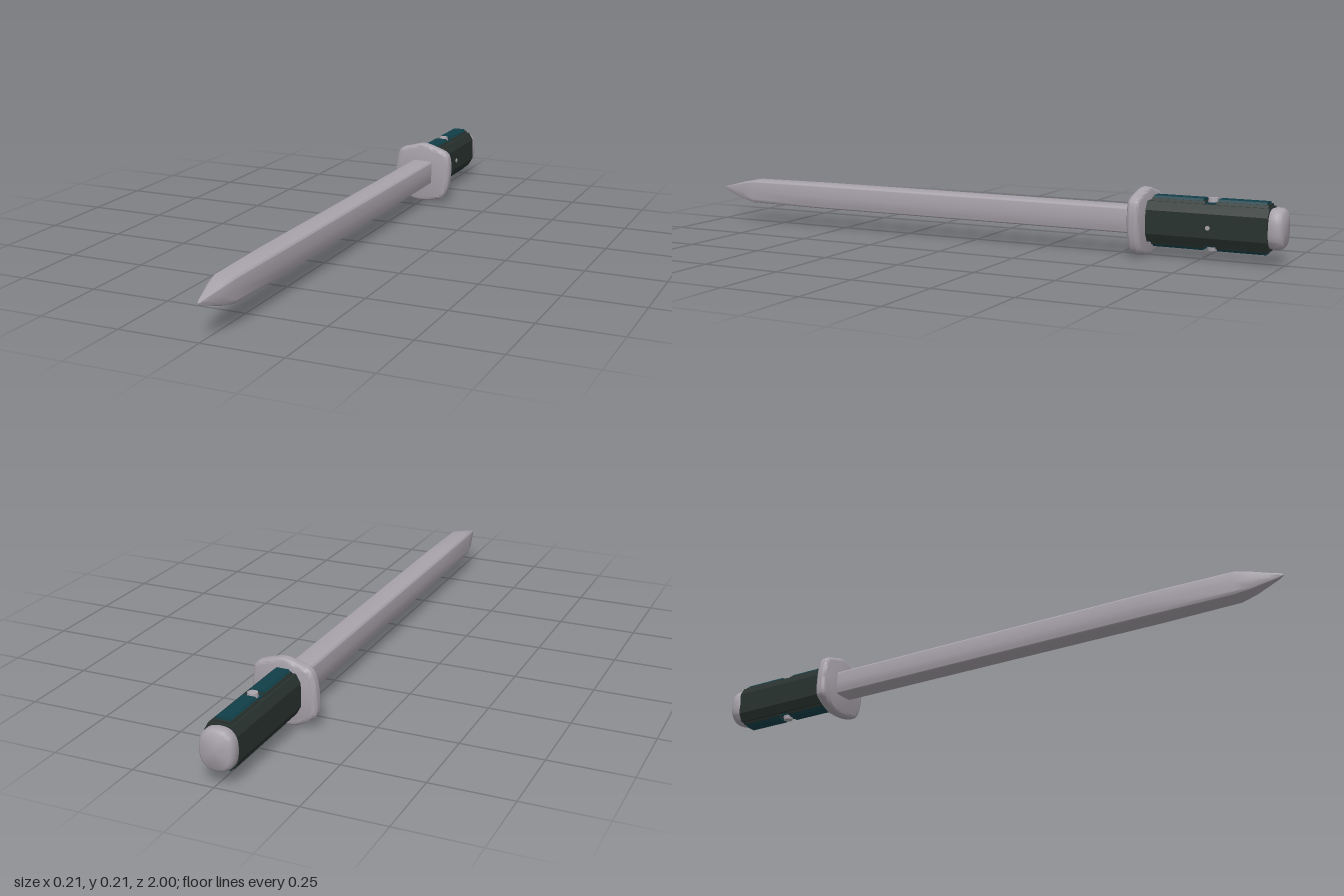
import * as THREE from 'three';
import { toCreasedNormals } from 'three/addons/utils/BufferGeometryUtils.js';

const steel = new THREE.MeshStandardMaterial({ color: 0xa8a2aa });
steel.name = 'steel';
const grip = new THREE.MeshStandardMaterial({ color: 0x28322f });
grip.name = 'dark grip';
const teal = new THREE.MeshStandardMaterial({ color: 0x123f48 });
teal.name = 'teal inlay';

// Closed loft along z through superellipse sections [z, halfWidth, halfHeight, centreY]
function loft(sections, power, creaseAngle, sides = 32) {
  const pos = [], idx = [];
  const bend = (v) => Math.sign(v) * Math.pow(Math.abs(v), 2 / power);
  for (const [z, w, h, cy] of sections) {
    for (let j = 0; j < sides; j++) {
      const a = (j / sides) * Math.PI * 2;
      pos.push(w * bend(Math.cos(a)), cy + h * bend(Math.sin(a)), z);
    }
  }
  const last = sections.length - 1;
  const back = pos.length / 3, front = back + 1;
  pos.push(0, sections[0][3], sections[0][0], 0, sections[last][3], sections[last][0]);
  for (let j = 0; j < sides; j++) {
    const k = (j + 1) % sides;
    for (let i = 0; i < last; i++) {
      const a = i * sides + j, b = i * sides + k;
      idx.push(a, b, b + sides, a, b + sides, a + sides);
    }
    idx.push(back, k, j, front, last * sides + j, last * sides + k);
  }
  const g = new THREE.BufferGeometry();
  g.setAttribute('position', new THREE.Float32BufferAttribute(pos, 3));
  g.setIndex(idx);
  return toCreasedNormals(g, creaseAngle);
}

// Straight bar with a polygon section, from z0 to z1
function bar(points, z0, z1) {
  const shape = new THREE.Shape(points.map(([x, y]) => new THREE.Vector2(x, y)));
  const g = new THREE.ExtrudeGeometry(shape, { depth: z1 - z0, bevelEnabled: false });
  return g.translate(0, 0, z0);
}

// Rounded plate from a smooth closed outline, centred on z = 0
function guardPlate() {
  const outline = [
    [0.103, 0.15], [0.098, 0.06], [0.08, 0.02], [0.042, 0.006], [0, 0.002], [-0.04, 0.006],
    [-0.09, 0.035], [-0.102, 0.05], [-0.104, 0.1], [-0.098, 0.15], [-0.084, 0.183],
    [-0.045, 0.197], [0, 0.208], [0.05, 0.197], [0.092, 0.179],
  ].reverse();
  const curve = new THREE.CatmullRomCurve3(outline.map(([x, y]) => new THREE.Vector3(x, y, 0)), true);
  const points = curve.getPoints(60).slice(0, -1).map((p) => new THREE.Vector2(p.x, p.y));
  const g = new THREE.ExtrudeGeometry(new THREE.Shape(points), {
    depth: 0.012, bevelThickness: 0.013, bevelSize: 0.013, bevelOffset: -0.013, bevelSegments: 4,
  });
  return toCreasedNormals(g.translate(0, 0, -0.006), 1.0);
}

export function createModel() {
  const model = new THREE.Group();
  const add = (name, geometry, material, parent) => {
    const mesh = new THREE.Mesh(geometry, material);
    mesh.name = name;
    parent.add(mesh);
    return mesh;
  };

  // Blade: thick squared bar tapering to a point
  add('blade', loft([
    [-0.57, 0.038, 0.041, 0.107],
    [0.6, 0.038, 0.041, 0.107],
    [0.86, 0.035, 0.039, 0.107],
    [0.91, 0.026, 0.029, 0.107],
    [0.96, 0.013, 0.015, 0.108],
    [0.985, 0.007, 0.008, 0.109],
    [1.0, 0.002, 0.002, 0.110],
  ], 8, 0.7), steel, model);

  // Guard: softly rounded square plate, very slightly turned
  const guard = add('guard', guardPlate(), steel, model);
  guard.position.z = -0.572;
  guard.rotation.y = -0.05;

  // Handle: chamfered bar with notched ridges above and below
  const handle = new THREE.Group();
  handle.name = 'handle';
  handle.position.set(-0.005, 0.108, 0);
  model.add(handle);
  add('gripCore', bar([
    [0.051, -0.036], [0.051, 0.036], [0.036, 0.062], [-0.036, 0.062],
    [-0.051, 0.036], [-0.051, -0.036], [-0.036, -0.062], [0.036, -0.062],
  ], -0.96, -0.585), grip, handle);
  for (const side of [1, -1]) {
    const ridgeSide = new THREE.Group();
    ridgeSide.name = side > 0 ? 'topRidge' : 'bottomRidge';
    ridgeSide.rotation.z = side > 0 ? 0 : Math.PI;
    handle.add(ridgeSide);
    for (const [z0, z1] of [[-0.955, -0.8], [-0.765, -0.6]]) {
      add('ridge', bar([[0.034, 0.055], [0.026, 0.07], [-0.026, 0.07], [-0.034, 0.055]], z0, z1), grip, ridgeSide);
      add('inlay', bar([[0.025, 0.069], [0.019, 0.077], [-0.019, 0.077], [-0.025, 0.069]], z0 + 0.006, z1 - 0.003), teal, ridgeSide);
    }
    add('notchInlay', new THREE.BoxGeometry(0.044, 0.006, 0.035).translate(0, 0.063, -0.7825), teal, ridgeSide);
    // Stud sitting in the notch
    add('stud', new THREE.CylinderGeometry(0.015, 0.018, 0.022, 10).translate(0, 0.068, -0.782), steel, ridgeSide);
  }
  // Small pin on the left face
  const pin = add('sidePin', new THREE.CylinderGeometry(0.007, 0.007, 0.006, 10), steel, handle);
  pin.rotation.z = Math.PI / 2;
  pin.position.set(0.051, -0.005, -0.782);

  // Pommel: rounded end cap
  const pommel = add('pommel', loft([
    [-1.0, 0.043, 0.051, 0.108],
    [-0.994, 0.05, 0.058, 0.108],
    [-0.984, 0.053, 0.062, 0.108],
    [-0.968, 0.053, 0.062, 0.108],
    [-0.958, 0.049, 0.058, 0.108],
  ], 2.5, 1.0), steel, model);
  pommel.position.x = -0.007;

  return model;
}
